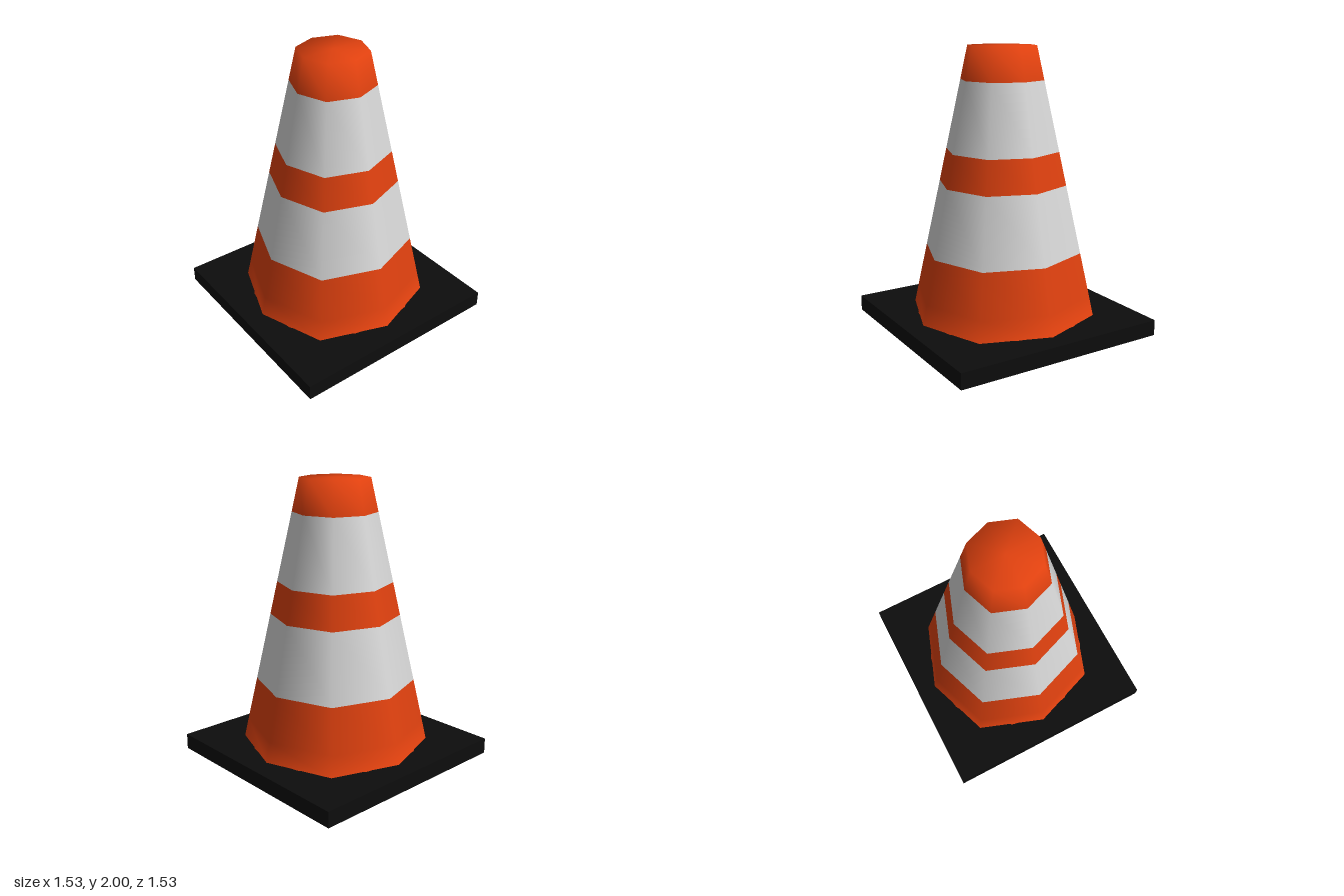
import * as THREE from 'three';

export function createModel() {
  const group = new THREE.Group();
  group.name = 'trafficCone';

  const material = (name, color) => {
    const m = new THREE.MeshStandardMaterial({ color });
    m.name = name;
    return m;
  };
  const orange = material('orange plastic', 0xe0410f);
  const white = material('white band', 0xd9d9d9);
  const black = material('black rubber', 0x0d0d0d);

  // Eight-sided smooth ring; the diagonal corners sit slightly further out
  const ring = (name, points, mat) => {
    const geometry = new THREE.LatheGeometry(points.map(([r, y]) => new THREE.Vector2(r, y)), 8);
    const p = geometry.attributes.position;
    for (let i = 0; i < p.count; i++) {
      const x = p.getX(i), z = p.getZ(i);
      if (Math.min(Math.abs(x), Math.abs(z)) > 0.01) p.setXYZ(i, x * 1.04, p.getY(i), z * 1.04);
    }
    const mesh = new THREE.Mesh(geometry, mat);
    mesh.name = name;
    group.add(mesh);
  };

  // Radius of the straight cone wall at a height
  const wall = (y) => [0.63 - (y - 0.14) * 0.215, y];

  // Foot with a shallow hollow underneath and a flange hidden in the base plate
  ring('coneFoot', [
    [0, 0.03], [0.49, 0.03], [0.66, 0], [0.685, 0], [0.685, 0.12],
    [0.63, 0.138], wall(0.28), wall(0.585),
  ], orange);

  // Alternating bands
  ring('lowerWhiteBand', [wall(0.585), wall(1.06)], white);
  ring('middleOrangeBand', [wall(1.06), wall(1.29)], orange);
  ring('upperWhiteBand', [wall(1.29), wall(1.77)], white);

  // Closed tip
  ring('coneTip', [wall(1.77), wall(2), [0, 2]], orange);

  // Square base plate, open in the middle for the foot
  const square = new THREE.Shape();
  const s = 0.765;
  square.moveTo(-s, -s).lineTo(s, -s).lineTo(s, s).lineTo(-s, s).closePath();
  const hole = new THREE.Path();
  hole.absarc(0, 0, 0.6, 0, Math.PI * 2, true);
  square.holes.push(hole);
  const plateGeometry = new THREE.ExtrudeGeometry(square, { depth: 0.11, bevelEnabled: false, curveSegments: 8 });
  plateGeometry.rotateX(-Math.PI / 2).translate(0, 0.03, 0);
  const plate = new THREE.Mesh(plateGeometry, black);
  plate.name = 'basePlate';
  group.add(plate);

  return group;
}
